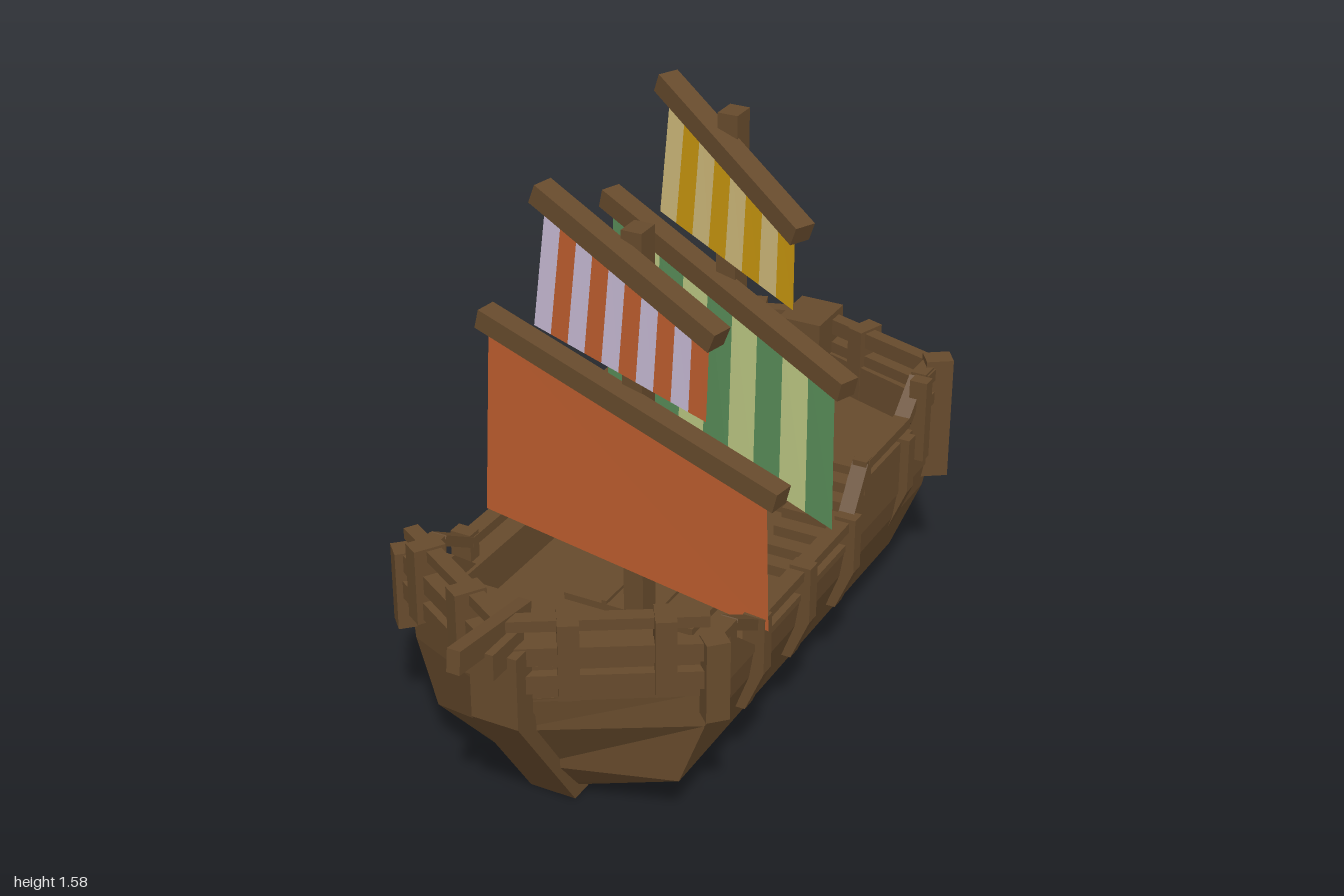
import * as THREE from 'three';

const mat = (name, color, side = THREE.FrontSide) => {
  const m = new THREE.MeshStandardMaterial({ color, side });
  m.name = name;
  return m;
};

export function createModel() {
  const ship = new THREE.Group();
  ship.name = 'ship';
  const wood = mat('wood', 0x664a2c);
  const D = THREE.DoubleSide;
  const orange = mat('orange cloth', 0xb95b2d, D), lavender = mat('lavender cloth', 0xc2b5cf, D);
  const green = mat('green cloth', 0x5a8f5a, D), lime = mat('pale green cloth', 0xbfcb85, D);
  const amber = mat('amber cloth', 0xc8960f, D), cream = mat('cream cloth', 0xd0ba7a, D);
  const CX = -0.015;

  // The hull parts share one slightly offset centre line
  const hullGroup = new THREE.Group();
  hullGroup.name = 'hull';
  hullGroup.position.x = CX;
  ship.add(hullGroup);

  const add = (name, geo, parent = hullGroup, m = wood) => {
    const mesh = new THREE.Mesh(geo, m);
    mesh.name = name;
    parent.add(mesh);
    return mesh;
  };
  const box = (name, w, h, d, x, y, z, ry = 0, parent = hullGroup) => {
    const b = add(name, new THREE.BoxGeometry(w, h, d), parent);
    b.position.set(x, y, z);
    b.rotation.y = ry;
    return b;
  };
  // Square timber between two points
  const beam = (name, a, b, w, h, parent = hullGroup) => {
    const p = new THREE.Vector3(...a), q = new THREE.Vector3(...b);
    const dir = q.clone().sub(p), len = dir.length();
    dir.normalize();
    const side = new THREE.Vector3(0, 1, 0).cross(dir).normalize();
    const up = dir.clone().cross(side);
    const m = add(name, new THREE.BoxGeometry(w, h, len), parent);
    m.quaternion.setFromRotationMatrix(new THREE.Matrix4().makeBasis(side, up, dir));
    m.position.copy(p.add(q).multiplyScalar(0.5));
    return m;
  };
  const extrude = (pts, depth) => new THREE.ExtrudeGeometry(
    new THREE.Shape(pts.map(p => new THREE.Vector2(...p))), { depth, bevelEnabled: false }
  ).translate(0, 0, -depth / 2);
  // Profile given as (z, y), thickness along x
  const sideProfile = (name, pts, w, x) =>
    add(name, extrude(pts, w).rotateY(-Math.PI / 2).translate(x, 0, 0));
  // Deck outline given as (x, z)
  const deck = (name, pts, top, h) =>
    add(name, extrude(pts.map(([x, z]) => [x, -z]), h).rotateX(-Math.PI / 2).translate(0, top - h / 2, 0));

  // Hull shell: six-sided rings [y, half width, stem z, front z, back z, stern z]
  const rings = [
    [0.03, 0.001, 0.5, 0.5, -0.7, -0.7],
    [0.03, 0.06, 0.57, 0.55, -0.74, -0.77],
    [0.14, 0.35, 0.66, 0.55, -0.74, -0.85],
    [0.32, 0.415, 0.785, 0.54, -0.80, -0.96],
    [0.42, 0.43, 0.80, 0.53, -0.82, -0.97],
    [0.42, 0.37, 0.73, 0.49, -0.77, -0.91],
    [0.30, 0.37, 0.73, 0.49, -0.77, -0.91],
    [0.30, 0.001, 0.3, 0.3, -0.3, -0.3],
  ].map(([y, w, s, f, b, t]) => [[0, y, s], [w, y, f], [w, y, b], [0, y, t], [-w, y, b], [-w, y, f]]);
  const pos = [];
  for (let r = 0; r < rings.length - 1; r++)
    for (let i = 0; i < 6; i++) {
      const j = (i + 1) % 6, a = rings[r][i], b = rings[r][j], c = rings[r + 1][j], d = rings[r + 1][i];
      pos.push(...a, ...b, ...c, ...a, ...c, ...d);
    }
  const shell = new THREE.BufferGeometry();
  shell.setAttribute('position', new THREE.Float32BufferAttribute(pos, 3));
  shell.computeVertexNormals();
  add('hullShell', shell);

  // Keel with stem and stern posts
  sideProfile('keel', [[0.57, 0], [0.83, 0.37], [0.83, 0.57], [0.76, 0.57], [0.76, 0.38], [0.53, 0.05],
    [-0.73, 0.05], [-0.92, 0.36], [-0.84, 0.42], [-0.84, 0.72], [-1, 0.72], [-1, 0.36], [-0.77, 0]], 0.13, 0);

  // Raised decks, hatch and stairs
  deck('foreDeck', [[0, 0.75], [0.39, 0.5], [0.39, 0.39], [-0.39, 0.39], [-0.39, 0.5]], 0.43, 0.13);
  deck('aftDeck', [[0, -0.93], [0.39, -0.79], [0.39, -0.5], [-0.39, -0.5], [-0.39, -0.79]], 0.5, 0.2);
  box('hatch', 0.38, 0.02, 0.17, 0, 0.31, 0.09);
  for (const x of [-0.07, 0.07]) box('hatchBar', 0.015, 0.01, 0.17, x, 0.325, 0.09);
  for (const s of [-1, 1])
    for (let i = 0; i < 6; i++) {
      const h = 0.03 * (i + 1);
      box('stairStep', 0.17, h, 0.052, s * 0.28, 0.3 + h / 2, -0.215 - i * 0.05);
    }

  for (const s of [-1, 1]) {
    // Side bulwark rising at bow and stern
    sideProfile('bulwark', [[0.53, 0.4], [0.53, 0.5], [0.4, 0.5], [0.3, 0.42], [-0.27, 0.42], [-0.35, 0.56],
      [-0.82, 0.56], [-0.82, 0.4]], 0.05, s * 0.405);

    // Handrail
    const rail = [[0.56, 0.55], [0.42, 0.55], [0.29, 0.475], [-0.27, 0.475], [-0.36, 0.605], [-0.63, 0.605],
      [-0.73, 0.69], [-0.83, 0.69]];
    for (let i = 0; i < rail.length - 1; i++)
      beam('handrail', [s * 0.415, rail[i][1], rail[i][0]], [s * 0.415, rail[i + 1][1], rail[i + 1][0]], 0.045, 0.028);
    for (const [z, y] of [[0.43, 0.5], [-0.36, 0.57], [-0.72, 0.62]])
      box('railPost', 0.04, 0.1, 0.035, s * 0.415, y, z);

    // Side ribs that follow the hull
    for (const [z, up] of [[0.28, 0], [0.015, 0], [-0.26, 0], [-0.61, 0.07]]) {
      const pts = [[0.35, 0.22], [0.405, 0.22], [0.455, 0.34], [0.455, 0.5], [0.395, 0.5], [0.395, 0.32]];
      add('sideRib', extrude(pts.map(([x, y]) => [s * x, y + up]), 0.042).translate(0, 0, z));
    }

    // Bow planking
    const bowAngle = s * Math.atan2(0.27, 0.43);
    beam('bowBulwark', [s * 0.42, 0.46, 0.515], [0, 0.46, 0.775], 0.04, 0.1);
    for (const [y, h, o] of [[0.475, 0.05, 0.02], [0.55, 0.05, 0.015], [0.628, 0.03, 0]])
      beam('bowPlank', [s * 0.42, y, 0.53 + o], [0, y, 0.785 + o], 0.04, h);
    for (const x of [0.14, 0.335])
      box('bowRib', 0.052, 0.21, 0.085, s * x, 0.545, 0.805 - x * 0.63, bowAngle);
    box('bowCornerPost', 0.06, 0.22, 0.055, s * 0.44, 0.47, 0.54, s * 0.8);

    // Stern planking
    const sternAngle = -s * Math.atan2(0.15, 0.43);
    beam('sternBulwark', [s * 0.42, 0.5, -0.805], [0, 0.5, -0.955], 0.03, 0.2);
    for (let i = 0; i < 5; i++) {
      const y = 0.4 + i * 0.07;
      beam('sternPlank', [s * 0.44, y, -0.825], [0, y, -0.97], 0.04, 0.045);
      if (i > 2) beam('sternSidePlank', [s * 0.425, y, -0.7 - (i - 3) * 0.04], [s * 0.425, y, -0.83], 0.035, 0.035);
    }
    box('sternRib', 0.05, 0.34, 0.085, s * 0.17, 0.54, -0.92, sternAngle);
    box('sternCornerPost', 0.075, 0.36, 0.06, s * 0.435, 0.54, -0.82, s * 0.6);
    box('sternSidePost', 0.05, 0.24, 0.04, s * 0.44, 0.59, -0.69);
  }

  // Bowsprit and its block
  box('bowspritBlock', 0.08, 0.07, 0.14, 0, 0.575, 0.82);
  beam('bowsprit', [0, 0.605, 0.68], [0, 0.643, 0.995], 0.036, 0.062);

  // Masts
  box('foreMast', 0.056, 1.11, 0.068, 0.017, 0.855, 0.167, 0, ship);
  box('mainMast', 0.056, 1.24, 0.07, 0.017, 0.915, -0.34, 0, ship);

  // Sail of vertical stripes between two top and two bottom corners
  const sail = (name, tl, tr, bl, br, count, cloth) => {
    const g = new THREE.Group();
    g.name = name;
    ship.add(g);
    const v = c => new THREE.Vector3(...c);
    for (let i = 0; i < count; i++) {
      const t = k => v(tl).lerp(v(tr), k / count), b = k => v(bl).lerp(v(br), k / count);
      const geo = new THREE.BufferGeometry().setFromPoints([t(i), b(i), b(i + 1), t(i), b(i + 1), t(i + 1)]);
      geo.computeVertexNormals();
      add('sailStripe', geo, g, cloth[i % cloth.length]);
    }
  };
  beam('foreLowerYard', [-0.43, 1.075, 0.165], [0.47, 0.843, 0.287], 0.06, 0.055, ship);
  sail('foreLowerSail', [-0.41, 1.06, 0.175], [0.43, 0.85, 0.285], [-0.42, 0.53, 0.2], [0.45, 0.47, 0.3], 1, [orange]);
  beam('foreUpperYard', [-0.25, 1.455, 0.175], [0.3, 1.228, 0.29], 0.06, 0.055, ship);
  sail('foreUpperSail', [-0.23, 1.44, 0.18], [0.27, 1.24, 0.28], [-0.26, 1.1, 0.2], [0.27, 1.005, 0.295], 10, [lavender, orange]);
  beam('mainLowerYard', [-0.41, 1.175, -0.45], [0.45, 0.942, -0.13], 0.06, 0.055, ship);
  sail('mainLowerSail', [-0.39, 1.16, -0.44], [0.41, 0.95, -0.14], [-0.41, 0.61, -0.43], [0.43, 0.54, -0.11], 9, [green, lime]);
  beam('mainUpperYard', [-0.21, 1.555, -0.4], [0.3, 1.322, -0.16], 0.06, 0.055, ship);
  sail('mainUpperSail', [-0.19, 1.54, -0.39], [0.27, 1.33, -0.18], [-0.21, 1.2, -0.37], [0.28, 1.11, -0.16], 8, [cream, amber]);

  return ship;
}
